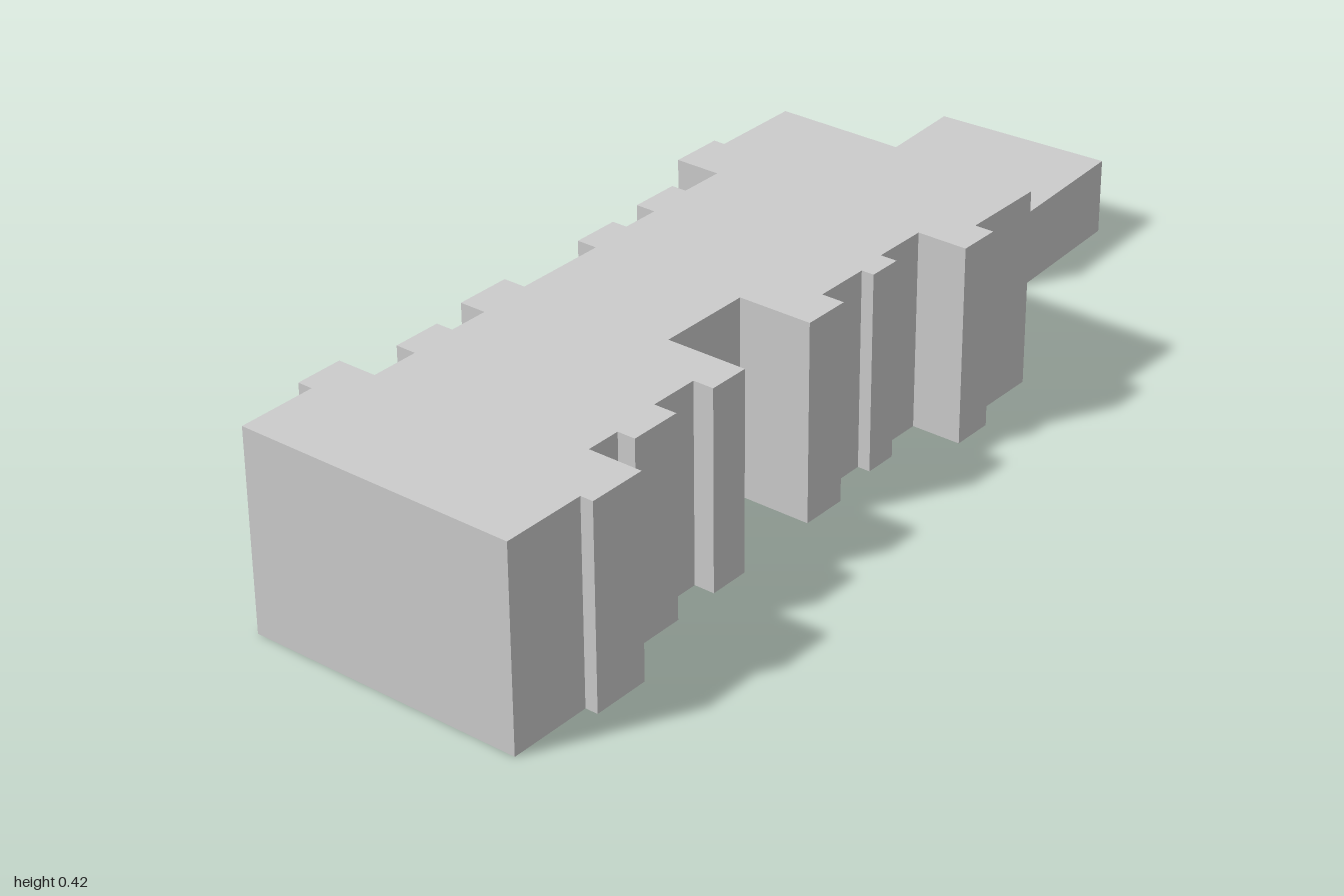
import * as THREE from 'three';

// Each facade bay: [where the bay ends along the block, depth of its wall]
const BACK_BAYS = [
  [0.168, 0.003], [0.27, -0.029], [0.373, 0.056], [0.478, 0.012], [0.564, 0.049],
  [0.683, -0.008], [0.885, 0.04], [0.987, -0.004], [1.07, 0.029], [1.177, -0.014],
  [1.275, 0.019], [1.389, -0.079], [1.588, -0.054],
];
const FRONT_BAYS = [
  [0.181, 0.604], [0.306, 0.631], [0.381, 0.516], [0.492, 0.554], [0.599, 0.505],
  [0.688, 0.549], [0.894, 0.376], [0.996, 0.535], [1.117, 0.486], [1.189, 0.513],
  [1.309, 0.477], [1.4, 0.585], [1.588, 0.544],
];

// Turns bays into the corner points of a stepped wall
function steppedWall(bays) {
  let start = 0;
  return bays.flatMap(([end, depth]) => {
    const pair = [new THREE.Vector2(start, -depth), new THREE.Vector2(end, -depth)];
    start = end;
    return pair;
  });
}

export function createModel() {
  const group = new THREE.Group();
  const material = new THREE.MeshStandardMaterial({ color: 0xcccccc, flatShading: true });

  // Long block with staggered bays on both sides
  const outline = new THREE.Shape([...steppedWall(FRONT_BAYS), ...steppedWall(BACK_BAYS).reverse()]);
  const blockGeometry = new THREE.ExtrudeGeometry(outline, { depth: 0.42, bevelEnabled: false });
  blockGeometry.rotateX(-Math.PI / 2);
  const block = new THREE.Mesh(blockGeometry, material);
  block.name = 'mainBuilding';
  block.position.set(-1, 0, 0.44);
  block.rotation.y = THREE.MathUtils.degToRad(35.6);
  group.add(block);

  // Low detached outbuilding
  const annex = new THREE.Mesh(new THREE.BoxGeometry(0.314, 0.166, 0.397), material);
  annex.name = 'outbuilding';
  annex.position.set(0.75, 0.083, -0.683);
  annex.rotation.y = THREE.MathUtils.degToRad(38.8);
  group.add(annex);

  return group;
}
